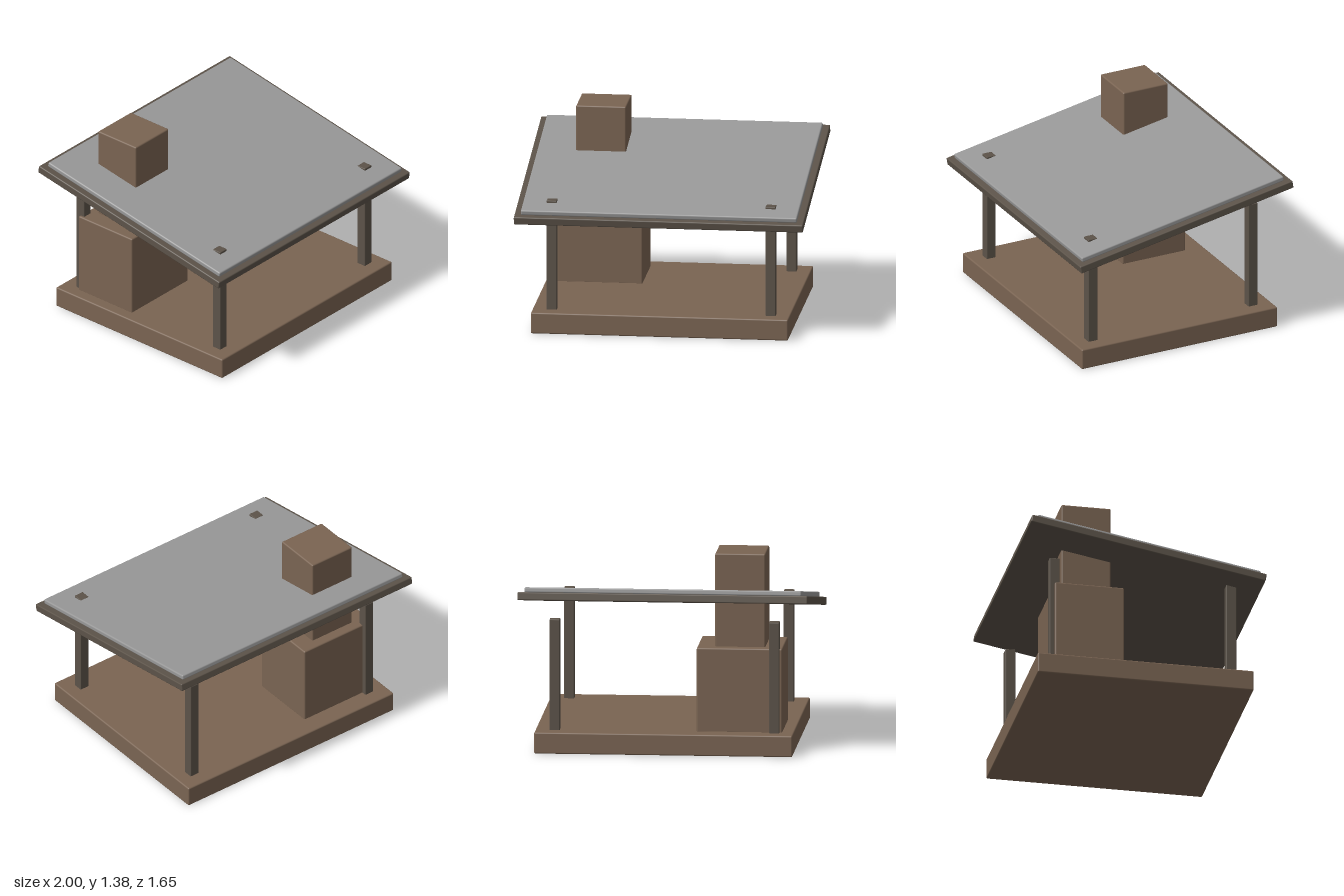
import * as THREE from 'three';
import { RoundedBoxGeometry } from 'three/addons/geometries/RoundedBoxGeometry.js';

export function createModel() {
  const model = new THREE.Group();
  model.name = 'forgeShelter';

  const material = (name, color) => {
    const m = new THREE.MeshStandardMaterial({ color });
    m.name = name;
    return m;
  };
  const brown = material('brown clay', 0x7a6452);
  const timber = material('dark timber', 0x5c5349);
  const grey = material('grey roofing', 0x989898);

  // Softly bevelled block, placed by its centre
  const block = (name, mat, [w, h, d], [x, y, z], bevel = 0.01, parent = model) => {
    const mesh = new THREE.Mesh(new RoundedBoxGeometry(w, h, d, 2, bevel), mat);
    mesh.name = name;
    mesh.position.set(x, y, z);
    parent.add(mesh);
    return mesh;
  };

  // Floor slab
  block('base', brown, [1.78, 0.148, 1.514], [0, 0.074, 0]);

  // Hearth with its chimney rising through the roof
  block('hearth', brown, [0.59, 0.59, 0.486], [-0.515, 0.435, -0.378]);
  block('chimney', brown, [0.346, 0.68, 0.346], [-0.515, 1.039, -0.378]);

  // Four corner posts, the front pair poking through the roof
  for (const x of [-0.757, 0.757]) {
    for (const z of [-0.62, 0.62]) {
      block(z > 0 ? 'frontPost' : 'backPost', timber, [0.07, 0.78, 0.07], [x, 0.53, z], 0.005);
    }
  }

  // Lean-to roof, sloping down to the front
  const roof = new THREE.Group();
  roof.name = 'roof';
  roof.position.set(0, 0.961, 0);
  roof.rotation.x = 0.18;
  block('roofDeck', timber, [2, 0.055, 1.672], [0, 0, 0], 0.008, roof);
  block('roofSheet', grey, [1.91, 0.036, 1.59], [0, 0.044, 0], 0.01, roof);
  model.add(roof);

  return model;
}
